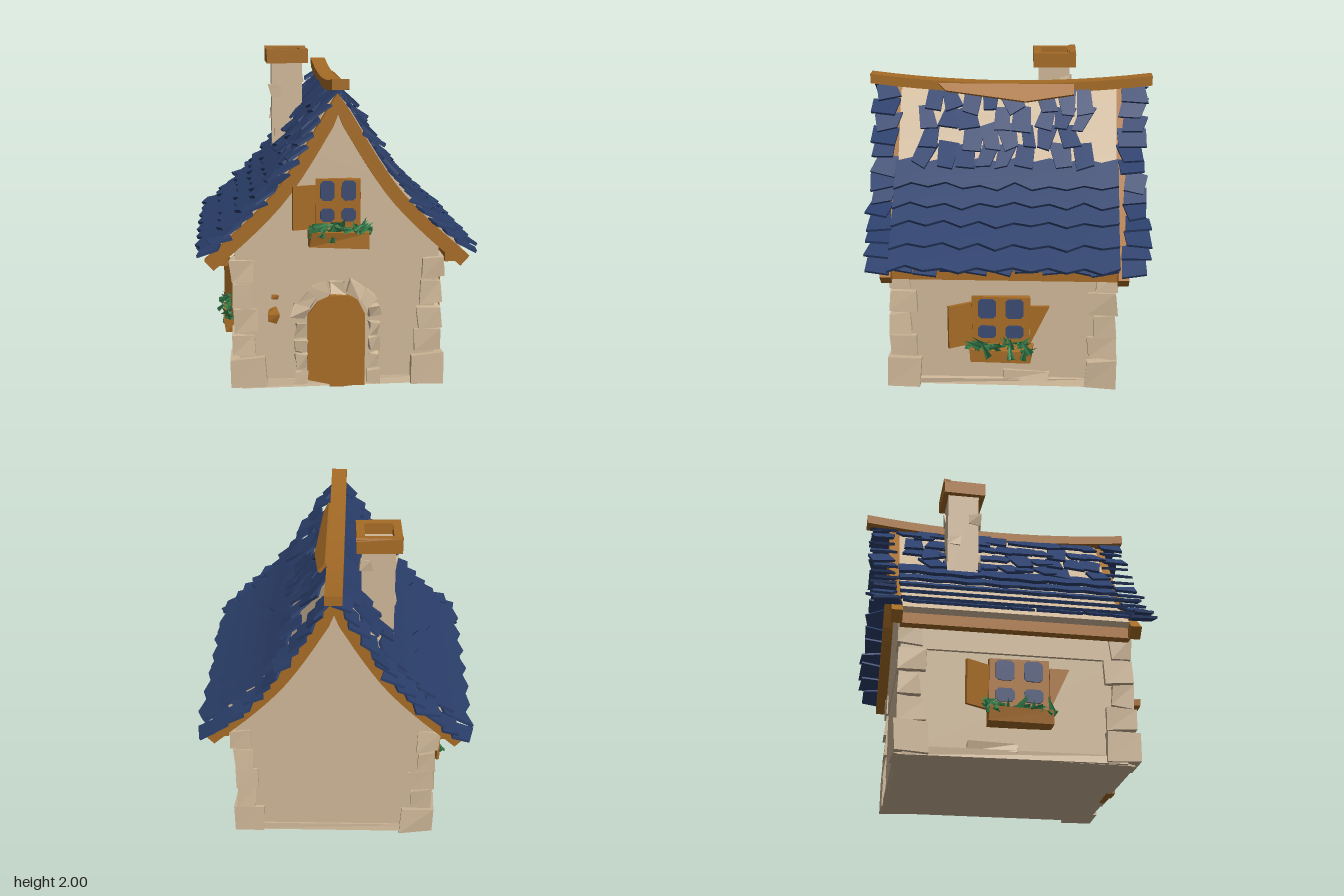
import * as THREE from 'three';

const mat = (name, color, side = THREE.FrontSide) => {
  const m = new THREE.MeshStandardMaterial({ color, side });
  m.name = name;
  return m;
};

export function createModel() {
  const root = new THREE.Group();
  root.name = 'cottage';
  const stoneMat = mat('warm stone', 0xcdb697);
  const woodMat = mat('brown wood', 0xa56b26);
  const tileMat = mat('blue shingle', 0x2b3f6b);
  const paneMat = mat('window glass', 0x3c4a70);
  const leafMat = mat('leaf green', 0x3b8a52, THREE.DoubleSide);

  let seed = 7;
  const rnd = () => (seed = (seed * 16807) % 2147483647) / 2147483647;
  const jit = (a) => (rnd() * 2 - 1) * a;

  const add = (parent, name, geo, m, x = 0, y = 0, z = 0) => {
    const mesh = new THREE.Mesh(geo, m);
    mesh.name = name;
    mesh.position.set(x, y, z);
    parent.add(mesh);
    return mesh;
  };
  const box = (parent, name, m, w, h, d, x, y, z) =>
    add(parent, name, new THREE.BoxGeometry(w, h, d), m, x, y, z);
  const extrude = (pts, depth) => new THREE.ExtrudeGeometry(
    new THREE.Shape(pts.map(([x, y]) => new THREE.Vector2(x, y))), { depth, bevelEnabled: false });

  // Hewn block: a box whose eight corners are each nudged
  const block = (parent, name, m, w, h, d, x, y, z, a = 0.012) => {
    const geo = new THREE.BoxGeometry(w, h, d).toNonIndexed();
    const off = Array.from({ length: 8 }, () => [jit(a), jit(a), jit(a)]);
    const p = geo.attributes.position;
    for (let i = 0; i < p.count; i++) {
      const [px, py, pz] = [p.getX(i), p.getY(i), p.getZ(i)];
      const o = off[(px > 0 ? 1 : 0) + (py > 0 ? 2 : 0) + (pz > 0 ? 4 : 0)];
      p.setXYZ(i, px + o[0], py + o[1], pz + o[2]);
    }
    geo.computeVertexNormals();
    return add(parent, name, geo, m, x, y, z);
  };

  // Sweeping roof line from ridge to eave, in x and y
  const roof = new THREE.SplineCurve([[0, 1.79], [0.11, 1.61], [0.23, 1.41], [0.37, 1.21], [0.54, 1.03], [0.74, 0.85]]
    .map(([x, y]) => new THREE.Vector2(x, y)));
  const roofLen = roof.getLength();
  const roofAt = (u, out = 0) => {
    const v = Math.min(u, 1), p = roof.getPointAt(v), t = roof.getTangentAt(v);
    const extra = (u - v) * roofLen;
    return { x: p.x + t.x * extra - t.y * out, y: p.y + t.y * extra + t.x * out, t };
  };
  const line = (out, end = 1) => Array.from({ length: 15 }, (_, i) => {
    const q = roofAt((i / 14) * end, out);
    return [Math.max(q.x, 0), q.y];
  });
  const flip = (pts) => pts.map(([x, y]) => [-x, y]);
  const bandShape = (o1, o2, end) => {
    const outer = line(o1, end), all = line(o2, end);
    const inner = all.filter(([x], i) => x > 0 || i === all.findLastIndex((q) => q[0] === 0));
    return [...flip(outer).reverse(), ...outer.slice(1), ...inner.reverse(), ...flip(inner).reverse().slice(1)];
  };

  // Walls and gable
  box(root, 'lowerWalls', stoneMat, 1.18, 0.65, 1.36, 0, 0.335, 0.02);
  const slope = line(-0.02, 0.87).filter(([x], i) => i === 0 || x > 0);
  const gable = [[-0.61, 0.66], [0.61, 0.66], ...slope.slice().reverse(), ...flip(slope.slice(1))];
  add(root, 'gableWalls', extrude(gable, 1.37), stoneMat, 0, 0, -0.665);
  for (const z of [-0.64, 0.68]) block(root, 'baseCourse', stoneMat, 1.16, 0.05, 0.07, 0, 0.035, z, 0.008);
  for (const x of [-0.58, 0.58]) {
    block(root, 'baseCourse', stoneMat, 0.07, 0.05, 1.3, x, 0.035, 0.02, 0.008);
    block(root, 'baseStone', stoneMat, 0.05, 0.06, 0.3, x, 0.08, -0.12);
  }

  // Corner stones
  const rows = [[0, 0.2, 0.2], [0.2, 0.15, 0.13], [0.35, 0.15, 0.16], [0.5, 0.15, 0.12], [0.66, 0.15, 0.13]];
  for (const sx of [-1, 1]) for (const sz of [-1, 1]) rows.forEach(([y, h, w], i) => {
    const s = w + jit(0.02), d = (i % 2 ? 0.17 : 0.13) + (i ? 0 : 0.07);
    const edgeX = i === 0 || i === 4 ? 0.64 : 0.625, edgeZ = (sz > 0 ? 0.74 : 0.69) - (i ? 0.015 : 0);
    block(root, 'cornerStone', stoneMat, s, h - 0.012, d, sx * (edgeX - s / 2), y + h / 2 + 0.006, sz * (edgeZ - d / 2));
  });

  // Roof deck, barge boards and eave beams
  add(root, 'roofDeck', extrude(bandShape(0.012, -0.025, 1), 1.36), stoneMat, 0, 0, -0.67);
  for (const z of [-0.735, 0.685]) add(root, 'bargeBoard', extrude(bandShape(0.005, -0.075, 1.05), 0.065), woodMat, 0, 0, z);
  for (const s of [-1, 1]) box(root, 'eaveBeam', woodMat, 0.06, 0.07, 1.38, s * 0.68, 0.805, 0.01);

  // Lays a flat piece on the roof slope, lifting its lower edge by the tilt
  const lay = (mesh, side, u, z, out, tilt, spin = 0) => {
    const q = roofAt(u, out);
    const up = new THREE.Vector3(-q.t.x * side, -q.t.y, 0);
    const n = new THREE.Vector3(-q.t.y * side, q.t.x, 0);
    mesh.position.set(q.x * side, q.y, z);
    mesh.quaternion.setFromRotationMatrix(new THREE.Matrix4().makeBasis(up.clone().cross(n), up, n));
    mesh.rotateX(-tilt);
    mesh.rotateZ(spin);
  };
  const shingle = (side, u, z, w, h, out, tilt, spin) => {
    const geo = extrude([[-1, -1], [1, -1], [1, 1], [-1, 1]]
      .map(([x, y]) => [(x * w) / 2 + jit(0.022), (y * h) / 2 + jit(0.022)]), 0.016);
    lay(add(root, 'shingle', geo, tileMat), side, u, z, out, tilt, spin);
  };

  for (const side of [-1, 1]) {
    // Lower courses: long strips with a ragged lower edge
    [0.48, 0.59, 0.7, 0.83, 0.96].forEach((u) => {
      const n = 13, pts = [];
      for (let i = 0; i <= n; i++) pts.push([-0.69 + (1.38 * i) / n, -0.1 + (i % 2 ? 0.022 : -0.014) + jit(0.014)]);
      for (let i = n; i >= 0; i--) pts.push([-0.69 + (1.38 * i) / n, 0.09 + (i % 2 ? 0.02 : -0.01)]);
      lay(add(root, 'shingleCourse', extrude(pts, 0.02), tileMat), side, u, 0.01, 0.044, 0.24);
    });
    // Upper courses: loose separate shingles, with gaps where the deck shows
    [0.08, 0.18, 0.28, 0.38].forEach((u, r) => {
      for (let i = 0; i < 11; i++) {
        const z = 0.6 - i * 0.12 + (r % 2 ? 0.03 : 0) + jit(0.015);
        const bare = side > 0 ? i === 0 || i === 10 || (i + r * 2) % 7 === 6 : r === 3 && (i === 1 || i === 10);
        if (bare) continue;
        shingle(side, u, z, side > 0 ? 0.1 : 0.125, 0.17, 0.038, 0.24 + jit(0.14), jit(0.35));
      }
    });
    // Verge shingles along both gable ends
    for (const z of [-0.775, 0.772]) for (let i = 0; i < 13; i++)
      shingle(side, 0.035 + i * 0.08, z + jit(0.012), 0.145, 0.13, 0.032, 0.34 + jit(0.2), jit(0.2));
    // Eave shingles
    for (let i = 0; i < 9; i++) shingle(side, 0.99, 0.62 - i * 0.15, 0.13, 0.13, 0.035, 0.2, jit(0.2));
  }
  // Narrow tapered board on one side of the ridge
  lay(add(root, 'ridgeBoard', extrude([[-0.45, 0.05], [-0.4, 0.0], [0.1, -0.07], [0.4, -0.02], [0.4, 0.05]], 0.02), woodMat),
    1, 0.04, 0, 0.06, 0.1);

  // Sagging ridge beam
  const ridge = new THREE.BoxGeometry(0.1, 0.06, 1.77, 1, 1, 12);
  const rp = ridge.attributes.position;
  for (let i = 0; i < rp.count; i++) rp.setY(i, rp.getY(i) + 0.055 * (rp.getZ(i) / 0.885) ** 2);
  ridge.computeVertexNormals();
  add(root, 'ridgeBeam', ridge, woodMat, 0, 1.8, -0.005);

  // Chimney with a wooden cap around its recessed stone top
  box(root, 'chimney', stoneMat, 0.2, 0.7, 0.2, -0.255, 1.57, -0.275);
  const frame = new THREE.Shape(), hole = new THREE.Path();
  for (const [path, r] of [[frame, 0.135], [hole, 0.085]])
    path.setFromPoints([[-r, -r], [r, -r], [r, r], [-r, r]].map(([x, z]) => new THREE.Vector2(x, z)));
  frame.holes.push(hole);
  add(root, 'chimneyCap', new THREE.ExtrudeGeometry(frame, { depth: 0.09, bevelEnabled: false }), woodMat, -0.255, 1.9, -0.275)
    .rotation.set(-Math.PI / 2, 0, 0.03);
  for (const [x, y, z] of [[-0.335, 1.72, -0.2], [-0.33, 1.56, -0.33], [-0.18, 1.8, -0.35], [-0.31, 1.45, -0.19]])
    block(root, 'chimneyStone', stoneMat, 0.07, 0.07, 0.07, x, y, z);
  block(root, 'chimneyCapBoard', woodMat, 0.27, 0.025, 0.04, -0.255, 1.985, -0.39, 0.006);

  // Plank door with stone arch
  add(root, 'doorPlank', extrude([[-0.18, 0.05], [-0.05, 0.02], [-0.05, 0.57], [-0.12, 0.54], [-0.18, 0.46]], 0.035), woodMat, 0, 0, 0.69);
  add(root, 'doorPlank', extrude([[0.06, 0.01], [0.165, 0.01], [0.165, 0.46], [0.12, 0.55], [0.06, 0.58]], 0.04), woodMat, 0, 0, 0.69);
  box(root, 'doorPlank', woodMat, 0.11, 0.57, 0.055, 0.005, 0.295, 0.715);
  for (const s of [-1, 1]) for (let i = 0; i < 4; i++)
    block(root, 'doorJambStone', stoneMat, 0.065, 0.085, 0.05, s * 0.22, 0.07 + i * 0.1, 0.71, 0.014);
  for (let i = 0; i < 7; i++) {
    const a = (Math.PI * (i + 0.5)) / 7;
    block(root, 'doorArchStone', stoneMat, 0.085, 0.085, 0.05, Math.cos(a) * 0.23, 0.43 + Math.sin(a) * 0.2, 0.71, 0.016)
      .rotation.z = a;
  }
  block(root, 'wallBracket', woodMat, 0.05, 0.05, 0.12, -0.385, 0.48, 0.76, 0.016);
  block(root, 'wallBracket', woodMat, 0.04, 0.02, 0.03, -0.375, 0.575, 0.71, 0.006);

  // Window with shutters and planted box, facing +z, base of frame at the origin
  const makeWindow = (name, w, h, spare) => {
    const g = new THREE.Group();
    g.name = name;
    root.add(g);
    block(g, 'windowFrame', woodMat, w, h, 0.035, 0, h / 2, 0.015, 0.006);
    for (const s of [-1, 1]) for (const [y, ph] of [[0.76, 0.41], [0.26, 0.27]]) {
      const a = w * 0.155, b = (h * ph) / 2, c = 0.018;
      const pane = [[-a + c, -b], [a - c, -b], [a, -b + c], [a, b - c], [a - c, b], [-a + c, b], [-a, b - c], [-a, -b + c]];
      add(g, 'windowPane', extrude(pane, 0.009), paneMat, s * w * 0.235, h * y, 0.034);
    }
    const hinge = new THREE.Group();
    hinge.name = 'shutter';
    hinge.position.set(-w / 2, 0, 0.015);
    hinge.rotation.y = spare ? 0.5 : 0.3;
    g.add(hinge);
    box(hinge, 'shutterBoard', woodMat, spare ? 0.16 : 0.14, h * 0.9, 0.02, spare ? -0.08 : -0.07, h * 0.42, 0);
    if (spare) add(g, 'brokenShutter', extrude([[w / 2, 0.0], [w / 2 + 0.12, 0.26], [w / 2, 0.26]], 0.02), woodMat, 0, 0, 0.03);
    block(g, 'planter', woodMat, w * 0.55 + 0.19, 0.095, 0.1, 0, -0.065, 0.05, 0.012);
    for (let i = 0; i < 30; i++) {
      const leaf = add(g, 'leaf', new THREE.ConeGeometry(0.03, 0.11, 3), leafMat, jit(w * 0.35 + 0.07), 0.0 + jit(0.025), 0.065 + jit(0.045));
      leaf.scale.z = 0.35;
      leaf.rotation.set(jit(0.9), jit(0.8), jit(1.6));
    }
    return g;
  };
  makeWindow('gableWindow', 0.27, 0.29, false).position.set(0, 1.0, 0.7);
  for (const s of [-1, 1]) {
    const win = makeWindow('sideWindow', 0.36, 0.31, true);
    win.position.set(s * 0.59, 0.31, 0.035);
    win.rotation.y = (s * Math.PI) / 2;
  }
  return root;
}
